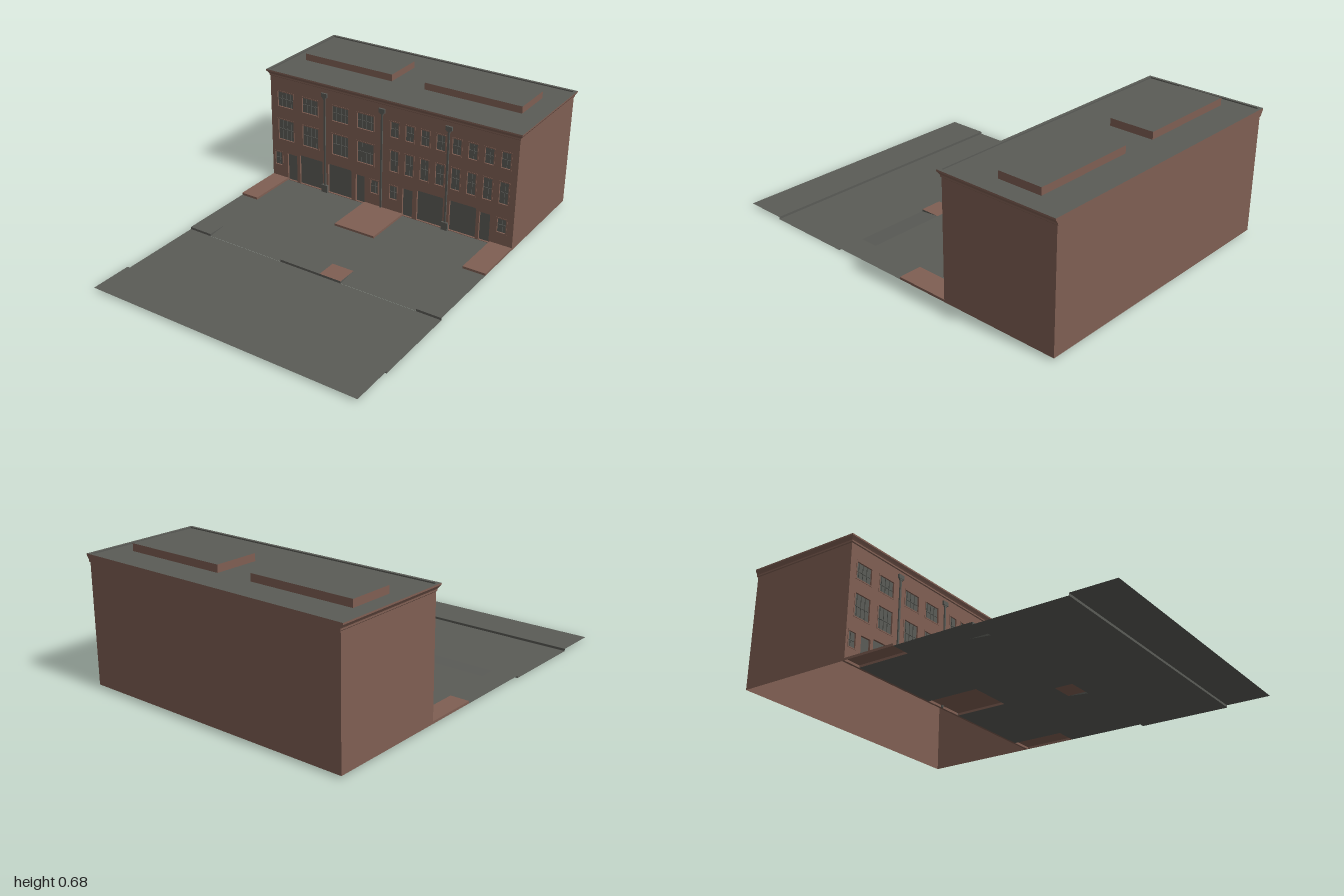
import * as THREE from 'three';

const brick = new THREE.MeshStandardMaterial({ color: 0x7f5f53, side: THREE.DoubleSide });
brick.name = 'brick brown';
const slate = new THREE.MeshStandardMaterial({ color: 0x5a5b56, side: THREE.DoubleSide });
slate.name = 'slate grey';

const W = 0.73, FRONT = -0.38, BACK = -0.995, BASE = 0.012, WALL_TOP = 0.612, DEPTH = 0.012;

export function createModel() {
  const root = new THREE.Group();
  root.name = 'terraceBuilding';

  const add = (name, geo, mat, parent = root) => {
    const m = new THREE.Mesh(geo, mat);
    m.name = name;
    parent.add(m);
    return m;
  };
  // box given by its limits
  const box = (name, mat, x0, x1, y0, y1, z0, z1, parent) => {
    const m = add(name, new THREE.BoxGeometry(x1 - x0, y1 - y0, z1 - z0), mat, parent);
    m.position.set((x0 + x1) / 2, (y0 + y1) / 2, (z0 + z1) / 2);
    return m;
  };
  // quads, each four corners counter-clockwise from outside
  const quads = (name, mat, list, parent) => {
    const pos = [];
    for (const [a, b, c, d] of list) pos.push(...a, ...b, ...c, ...a, ...c, ...d);
    const g = new THREE.BufferGeometry();
    g.setAttribute('position', new THREE.Float32BufferAttribute(pos, 3));
    g.computeVertexNormals();
    return add(name, g, mat, parent);
  };
  const flat = (x0, x1, z0, z1, y) => [[x0, y, z1], [x1, y, z1], [x1, y, z0], [x0, y, z0]];
  // rectangle with optionally rounded top corners
  const outline = (P, x0, x1, y0, y1, r = 0) => {
    const p = new P();
    p.moveTo(x0, y0);
    p.lineTo(x1, y0);
    p.lineTo(x1, y1 - r);
    if (r) p.quadraticCurveTo(x1, y1, x1 - r, y1);
    p.lineTo(x0 + r, y1);
    if (r) p.quadraticCurveTo(x0, y1, x0, y1 - r);
    p.closePath();
    return p;
  };

  // ---- openings ----
  const wide = [[-0.69, -0.58], [-0.53, -0.42], [-0.34, -0.23], [-0.183, -0.073]];
  const narrow = Array.from({ length: 8 }, (_, i) => [0.017 + i * 0.0885, 0.075 + i * 0.0885]);
  const openings = [];
  for (const [y0, y1] of [[0.438, 0.532], [0.245, 0.372]]) {
    for (const [x0, x1] of wide) openings.push({ kind: 'window', x0, x1, y0, y1, cols: 4 });
    for (const [x0, x1] of narrow) openings.push({ kind: 'window', x0, x1, y0, y1, cols: 2 });
  }
  for (const [x0, x1] of [[-0.717, -0.662], [-0.098, -0.043], [0.018, 0.072], [0.637, 0.695]])
    openings.push({ kind: 'window', x0, x1, y0: 0.086, y1: 0.172, cols: 2 });
  for (const [x0, x1] of [[-0.63, -0.567], [-0.186, -0.13], [0.1, 0.16], [0.543, 0.602]])
    openings.push({ kind: 'door', x0, x1, y0: BASE + 0.002, y1: 0.172 });
  for (const [x0, x1] of [[-0.548, -0.398], [-0.362, -0.214], [0.186, 0.338], [0.374, 0.525]])
    openings.push({ kind: 'garageDoor', x0, x1, y0: BASE + 0.002, y1: 0.185, r: 0.01 });

  // ---- front wall with openings ----
  const wall = outline(THREE.Shape, -W, W, BASE, WALL_TOP);
  for (const o of openings) wall.holes.push(outline(THREE.Path, o.x0, o.x1, o.y0, o.y1, o.r));
  add('frontWall', new THREE.ExtrudeGeometry(wall, { depth: DEPTH, bevelEnabled: false, curveSegments: 4 }), brick)
    .position.z = FRONT - DEPTH;

  for (const o of openings) {
    const g = new THREE.Group();
    g.name = o.kind;
    root.add(g);
    add(o.kind + 'Panel', new THREE.ShapeGeometry(outline(THREE.Shape, o.x0, o.x1, o.y0, o.y1, o.r), 4), slate, g)
      .position.z = FRONT - DEPTH + 0.001;
    if (o.kind !== 'window') continue;
    // surround standing slightly proud of the brickwork
    const t = 0.005, ring = outline(THREE.Shape, o.x0 - 0.001, o.x1 + 0.001, o.y0 - 0.001, o.y1 + 0.001);
    ring.holes.push(outline(THREE.Path, o.x0 + t, o.x1 - t, o.y0 + t, o.y1 - t));
    add('windowSurround', new THREE.ExtrudeGeometry(ring, { depth: 0.008, bevelEnabled: false }), brick, g)
      .position.z = FRONT - 0.006;
    // glazing bars
    const zb = FRONT - DEPTH, zf = FRONT - 0.007, b = 0.0015;
    for (let i = 1; i < o.cols; i++) {
      const x = o.x0 + (o.x1 - o.x0) * i / o.cols;
      box('glazingBar', slate, x - b, x + b, o.y0 + t, o.y1 - t, zb, zf, g);
    }
    const ym = (o.y0 + o.y1) / 2;
    box('glazingBar', slate, o.x0 + t, o.x1 - t, ym - b, ym + b, zb, zf, g);
  }

  // ---- side and back walls, open underneath ----
  quads('sideAndBackWalls', brick, [
    [[W, BASE, FRONT], [W, BASE, BACK], [W, WALL_TOP, BACK], [W, WALL_TOP, FRONT]],
    [[-W, BASE, BACK], [-W, BASE, FRONT], [-W, WALL_TOP, FRONT], [-W, WALL_TOP, BACK]],
    [[W, BASE, BACK], [-W, BASE, BACK], [-W, 0.645, BACK], [W, 0.645, BACK]],
  ]);

  // ---- cornice along the front and sides ----
  const profile = [[0, 0.608], [0.004, 0.612], [0.004, 0.62], [0.008, 0.626], [0.016, 0.637], [0.016, 0.645]];
  const ringAt = ([o, y]) => [[-W - o, y, -1], [-W - o, y, FRONT + o], [W + o, y, FRONT + o], [W + o, y, -1]];
  const cornice = [];
  for (let i = 0; i < profile.length - 1; i++) {
    const a = ringAt(profile[i]), c = ringAt(profile[i + 1]);
    for (let k = 0; k < 4; k++) {
      const n = (k + 1) % 4;
      cornice.push([a[k], a[n], c[n], c[k]]);
    }
  }
  quads('cornice', brick, cornice);

  // ---- roof with a low raised rim ----
  const X = W + 0.016, ZF = FRONT + 0.016, in_ = 0.016, ry = 0.639;
  const outer = ringAt([0.016, 0.645]);
  const inner = [[-X + in_, 0.645, -1 + in_], [-X + in_, 0.645, ZF - in_], [X - in_, 0.645, ZF - in_], [X - in_, 0.645, -1 + in_]];
  const roof = [flat(-X + in_, X - in_, -1 + in_, ZF - in_, ry)];
  for (let k = 0; k < 4; k++) {
    const n = (k + 1) % 4, low = (p) => [p[0], ry, p[2]];
    roof.push([outer[k], outer[n], inner[n], inner[k]], [inner[k], inner[n], low(inner[n]), low(inner[k])]);
  }
  quads('roof', slate, roof);
  for (const [x0, x1] of [[-0.655, -0.11], [0.085, 0.63]]) {
    const m = box('roofLantern', brick, x0, x1, ry, 0.676, -0.83, -0.6);
    m.material = [brick, brick, slate, brick, brick, brick];
  }

  // ---- downpipes ----
  for (const [x, boot] of [[-0.38, true], [-0.028, false], [0.355, true]]) {
    const g = new THREE.Group();
    g.name = 'downpipe';
    root.add(g);
    box('pipe', slate, x - 0.005, x + 0.005, BASE, 0.565, FRONT, FRONT + 0.007, g);
    box('hopper', slate, x - 0.018, x + 0.018, 0.565, 0.587, FRONT, FRONT + 0.01, g);
    box('hopperNeck', slate, x - 0.011, x + 0.011, 0.558, 0.565, FRONT, FRONT + 0.008, g);
    if (boot) box('pipeBoot', slate, x - 0.018, x + 0.018, BASE, 0.055, FRONT, FRONT + 0.012, g);
  }

  // ---- raised terraces in front of the wall, hollow below ----
  const terraces = [[-W, -0.63], [-0.13, 0.105], [0.608, W]], TZ = -0.1, ty = 0.024;
  for (const [x0, x1] of terraces) {
    quads('terrace', brick, [
      flat(x0, x1, FRONT, TZ, ty),
      [[x0, BASE, TZ], [x1, BASE, TZ], [x1, ty, TZ], [x0, ty, TZ]],
      [[x1, BASE, TZ], [x1, BASE, FRONT], [x1, ty, FRONT], [x1, ty, TZ]],
      [[x0, BASE, FRONT], [x0, BASE, TZ], [x0, ty, TZ], [x0, ty, FRONT]],
    ]);
  }

  // ---- pavement, dropped kerbs, road and far pavement ----
  const RZ = 0.21, KZ = 0.32, FZ = 0.78;
  const ramps = [[-0.6, -0.16], [0.19, 0.6]], pit = [0.07, 0.19];
  const paving = [
    flat(-0.63, -0.13, FRONT, TZ, BASE), flat(0.105, 0.608, FRONT, TZ, BASE), flat(-W, W, TZ, RZ, BASE),
    flat(-W, -0.6, RZ, KZ, BASE), flat(-0.16, pit[0], RZ, KZ, BASE), flat(0.6, W, RZ, KZ, BASE),
  ];
  for (const [x0, x1] of [[-W, -0.6], [-0.16, 0.19], [0.6, W]])
    paving.push([[x0, 0, KZ], [x1, 0, KZ], [x1, BASE, KZ], [x0, BASE, KZ]]);
  quads('pavement', slate, paving);
  quads('plantingBed', brick, [flat(pit[0], pit[1], RZ, KZ, BASE)]);
  for (const [x0, x1] of ramps) {
    const ramp = [[[x0, 0.001, KZ], [x1, 0.001, KZ], [x1, BASE, RZ], [x0, BASE, RZ]]];
    for (const x of [x0, x1]) ramp.push([[x, 0.001, KZ], [x, BASE, KZ], [x, BASE, RZ], [x, BASE, RZ]]);
    quads('droppedKerb', slate, ramp);
  }
  quads('road', slate, [flat(-W, W, KZ, FZ, 0)]);
  quads('farPavement', slate, [
    flat(-W, W, FZ, 1, BASE),
    [[W, 0, FZ], [-W, 0, FZ], [-W, BASE, FZ], [W, BASE, FZ]],
  ]);

  return root;
}
